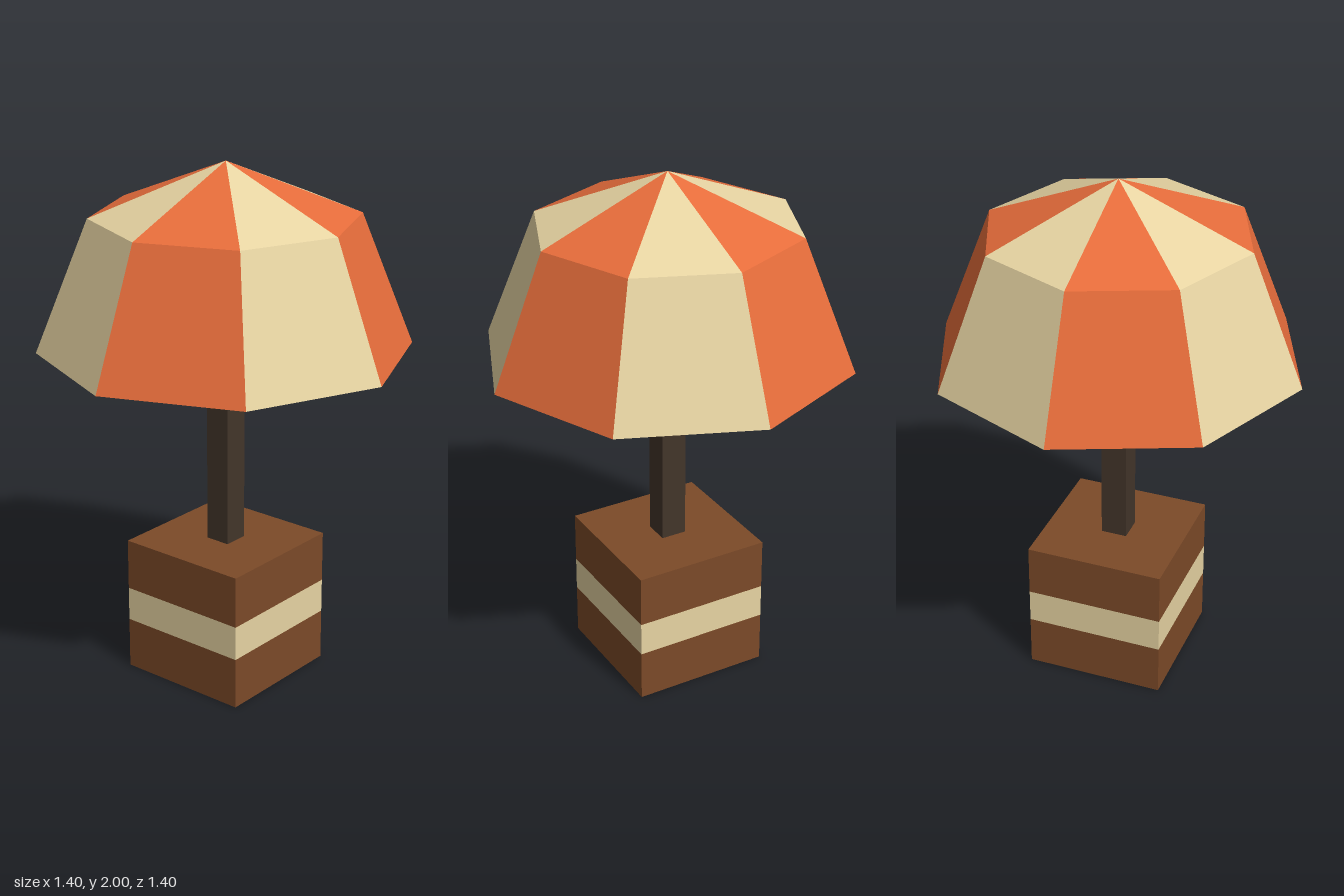
import * as THREE from 'three';

const SIDES = 8;
const WEDGE = (Math.PI * 2) / SIDES;

function material(name, color, side = THREE.FrontSide) {
  const m = new THREE.MeshStandardMaterial({ color, side });
  m.name = name;
  return m;
}

export function createModel() {
  const model = new THREE.Group();
  model.name = 'tableLamp';

  const orange = material('orange', 0xe76d3b, THREE.DoubleSide);
  const cream = material('cream', 0xe8d5a3, THREE.DoubleSide);
  const wood = material('brown wood', 0x7c4a28);
  const darkWood = material('dark wood', 0x43352a);

  // Box standing on height y
  function addBox(name, width, y, height, mat, parent) {
    const mesh = new THREE.Mesh(new THREE.BoxGeometry(width, height, width), mat);
    mesh.position.y = y + height / 2;
    mesh.name = name;
    parent.add(mesh);
  }

  // Square base with a cream band around the middle
  const base = new THREE.Group();
  base.name = 'base';
  addBox('baseBottom', 0.534, 0, 0.2, wood, base);
  addBox('baseBand', 0.534, 0.2, 0.134, cream, base);
  addBox('baseTop', 0.534, 0.334, 0.2, wood, base);
  model.add(base);

  // Post, ending just below the shade
  addBox('post', 0.1, 0.534, 0.666, darkWood, model);

  // One flat shade panel between two heights
  function addPanel(name, index, rTop, rBottom, yTop, yBottom, parent) {
    const geometry = new THREE.CylinderGeometry(
      rTop, rBottom, yTop - yBottom, 1, 1, true, index * WEDGE, WEDGE
    ).toNonIndexed();
    geometry.computeVertexNormals();
    const mesh = new THREE.Mesh(geometry, index % 2 ? cream : orange);
    mesh.position.y = (yTop + yBottom) / 2;
    mesh.name = name;
    parent.add(mesh);
  }

  // Open eight-sided shade in alternating colours
  const shade = new THREE.Group();
  shade.name = 'shade';
  for (let i = 0; i < SIDES; i++) {
    addPanel('shadeRoofPanel', i, 0, 0.5, 2, 1.8, shade);
    addPanel('shadeSidePanel', i, 0.5, 0.7, 1.8, 1.3, shade);
  }
  model.add(shade);

  return model;
}
